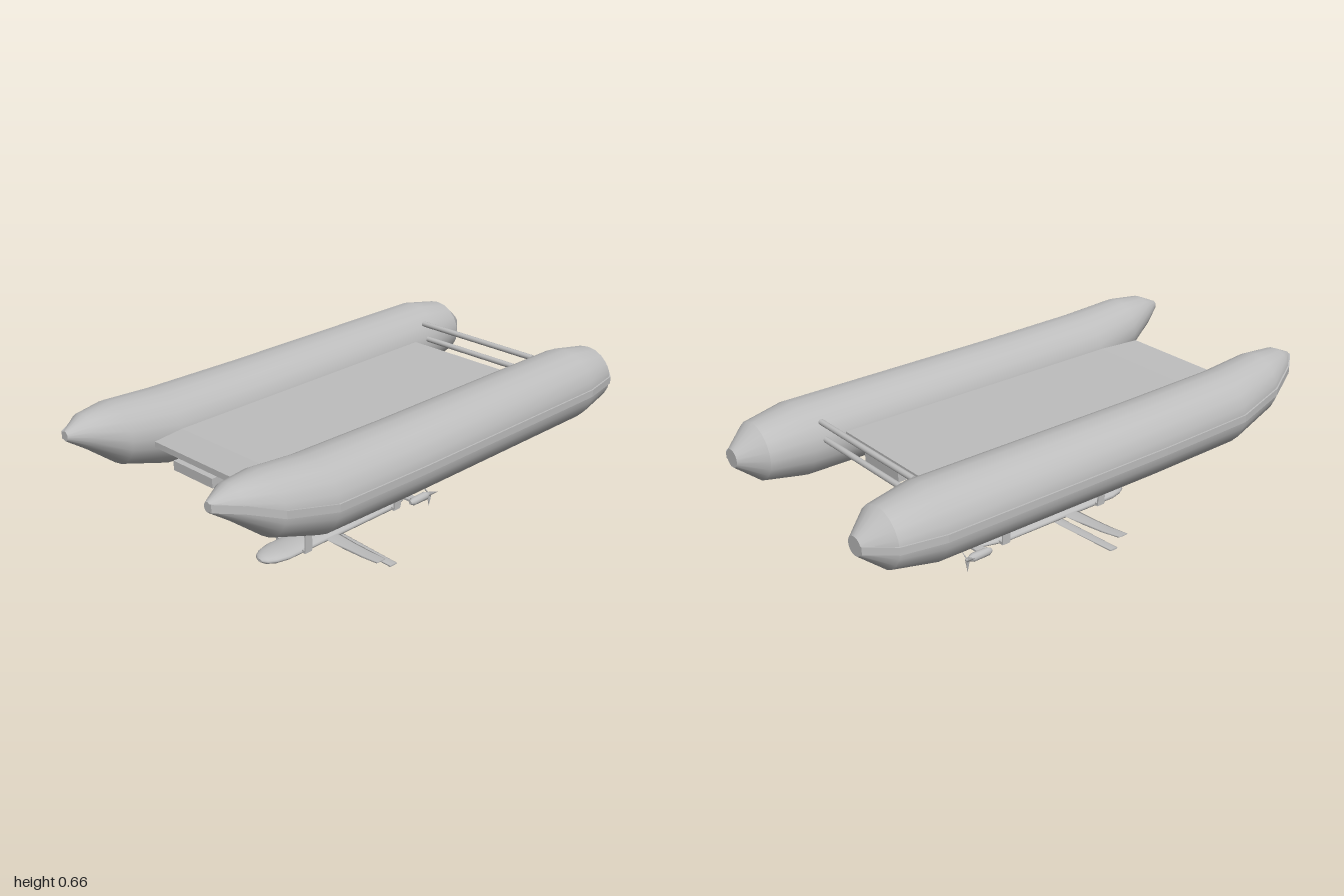
import * as THREE from 'three';

const grey = new THREE.MeshStandardMaterial({ color: 0xbebebe });
grey.name = 'light grey';

// Closed skin through rings along x; each station is [x, centreY, centreZ, halfHeight, halfWidth].
function loft(stations, sides, flat = false) {
  const pos = [], idx = [];
  const boxRing = [[1, -1], [1, 1], [-1, 1], [-1, -1]];
  const ringPoint = (s, j) => {
    const a = (j / sides) * Math.PI * 2;
    const [u, v] = sides === 4 ? boxRing[j % 4] : [Math.cos(a), Math.sin(a)];
    return [s[0], s[1] + u * s[3], s[2] + v * s[4]];
  };
  for (const s of stations) for (let j = 0; j < sides; j++) pos.push(...ringPoint(s, j));
  for (let i = 0; i < stations.length - 1; i++) {
    for (let j = 0; j < sides; j++) {
      const k = (j + 1) % sides, a = i * sides, b = a + sides;
      idx.push(a + j, a + k, b + j, a + k, b + k, b + j);
    }
  }
  // End caps with their own vertices
  for (const end of [0, stations.length - 1]) {
    const s = stations[end], base = pos.length / 3;
    pos.push(s[0], s[1], s[2]);
    for (let j = 0; j < sides; j++) pos.push(...ringPoint(s, j));
    for (let j = 0; j < sides; j++) {
      const p = base + 1 + j, q = base + 1 + ((j + 1) % sides);
      if (end) idx.push(base, p, q);
      else idx.push(base, q, p);
    }
  }
  let g = new THREE.BufferGeometry();
  g.setAttribute('position', new THREE.Float32BufferAttribute(pos, 3));
  g.setIndex(idx);
  if (flat) g = g.toNonIndexed();
  g.computeVertexNormals();
  return g;
}

function add(parent, name, geometry, x = 0, y = 0, z = 0) {
  const m = new THREE.Mesh(geometry, grey);
  m.name = name;
  m.position.set(x, y, z);
  parent.add(m);
  return m;
}

const box = (w, h, d) => new THREE.BoxGeometry(w, h, d);

// Inflatable hull: upswept pointed bow at -x, blunt cone at the stern
const hull = [
  [-1, 0.597, 0.368, 0.018, 0.015],
  [-0.92, 0.587, 0.375, 0.064, 0.073],
  [-0.8, 0.545, 0.382, 0.116, 0.117],
  [-0.6, 0.505, 0.389, 0.14, 0.139],
  [-0.2, 0.499, 0.39, 0.139, 0.141],
  [0.75, 0.497, 0.39, 0.138, 0.141],
  [0.91, 0.497, 0.388, 0.108, 0.112],
  [1, 0.497, 0.387, 0.034, 0.036],
];

function addHull(parent, s) {
  const g = new THREE.Group();
  g.name = s > 0 ? 'leftHull' : 'rightHull';
  const st = hull.map(([x, y, z, h, w]) => [x, y, z * s, h, w]);
  add(g, 'hullTube', loft(st.slice(0, 7), 20));
  add(g, 'sternCone', loft(st.slice(6), 20));
  // Rubbing strake on the outer side
  const rail = hull.map(([x, y, z, h, w]) => [x, y, s * (z + w - 0.002), 0.014, 0.006]);
  add(g, 'rubbingStrake', loft(rail, 4, true));
  parent.add(g);
}

function addDeck(parent) {
  const g = new THREE.Group();
  g.name = 'deck';
  // Deck plate whose narrowed front end turns up slightly
  add(g, 'deckPlate', loft([
    [-0.75, 0.536, 0, 0.011, 0.21],
    [-0.6, 0.523, 0, 0.012, 0.25],
    [0.62, 0.523, 0, 0.012, 0.25],
  ], 4, true));
  add(g, 'centreBeam', box(1.4, 0.035, 0.2), -0.06, 0.498, 0);
  for (const s of [-1, 1]) add(g, 'sideBeam', box(1.2, 0.016, 0.06), 0.01, 0.503, s * 0.22);
  // Cross tubes joining the sterns
  for (const y of [0.526, 0.586]) {
    add(g, 'crossTube', new THREE.CylinderGeometry(0.011, 0.011, 0.56, 12), 0.7, y, 0).rotation.x = Math.PI / 2;
  }
  parent.add(g);
}

// Wing spanning sideways from [span, x, y, halfThickness, halfChord] stations
function addWing(parent, name, s, stations) {
  const st = stations.map(([span, x, y, t, c]) => [span, y, -s * x, t, c]);
  add(parent, name, loft(st, 8)).rotation.y = (-s * Math.PI) / 2;
}

function addThruster(parent, s) {
  const g = new THREE.Group();
  g.name = 'thruster';
  g.position.set(0, 0.057, s * 0.08);
  add(g, 'motorPod', loft([
    [0.235, 0, 0, 0.008, 0.008],
    [0.25, 0, 0, 0.016, 0.016],
    [0.32, 0, 0, 0.017, 0.017],
    [0.335, 0, 0, 0.01, 0.01],
    [0.352, 0, 0, 0.004, 0.004],
  ], 12));
  for (let i = 0; i < 3; i++) {
    const hub = new THREE.Group();
    hub.name = 'propellerBlade';
    hub.position.x = 0.345;
    hub.rotation.x = (i * Math.PI * 2) / 3;
    const blade = new THREE.ConeGeometry(0.01, 0.054, 6);
    blade.scale(0.3, 1, 1).rotateX(Math.PI);
    blade.rotateX(Math.PI);
    blade.translate(0, 0.027, 0).rotateX(Math.PI);
    add(hub, 'blade', blade).rotation.y = 0.5;
    g.add(hub);
  }
  parent.add(g);
}

function addUnderwaterUnit(parent) {
  const g = new THREE.Group();
  g.name = 'underwaterUnit';
  // Flattened torpedo body
  add(g, 'body', loft([
    [-0.48, 0.058, 0, 0.006, 0.012],
    [-0.468, 0.058, 0, 0.014, 0.034],
    [-0.44, 0.058, 0, 0.02, 0.052],
    [-0.39, 0.058, 0, 0.022, 0.065],
    [0.15, 0.058, 0, 0.022, 0.065],
    [0.23, 0.058, 0, 0.015, 0.045],
    [0.29, 0.058, 0, 0.005, 0.015],
  ], 20));
  // Four flat struts and their cross ties
  for (const x of [-0.312, 0.162]) {
    for (const s of [-1, 1]) {
      add(g, 'strut', box(0.034, 0.42, 0.006), x, 0.27, s * 0.078);
      add(g, 'strutFoot', box(0.034, 0.006, 0.022), x, 0.478, s * 0.078);
    }
    add(g, 'strutTie', box(0.022, 0.008, 0.156), x, 0.333, 0);
    add(g, 'strutSaddle', box(0.034, 0.012, 0.156), x, 0.06, 0);
  }
  for (const s of [-1, 1]) {
    addWing(g, 'curvedWing', s, [
      [0.04, -0.17, 0.058, 0.004, 0.034],
      [0.16, -0.18, 0.059, 0.003, 0.031],
      [0.25, -0.187, 0.063, 0.003, 0.028],
      [0.33, -0.195, 0.071, 0.002, 0.024],
    ]);
    addWing(g, 'lowerWing', s, [
      [0.02, -0.12, 0.038, 0.004, 0.022],
      [0.34, -0.14, 0.037, 0.003, 0.02],
    ]);
    add(g, 'thrusterArm', box(0.04, 0.008, 0.07), 0.265, 0.057, s * 0.04);
    addThruster(g, s);
  }
  parent.add(g);
}

export function createModel() {
  const model = new THREE.Group();
  model.name = 'inflatableCatamaran';
  for (const s of [1, -1]) addHull(model, s);
  addDeck(model);
  addUnderwaterUnit(model);
  return model;
}
